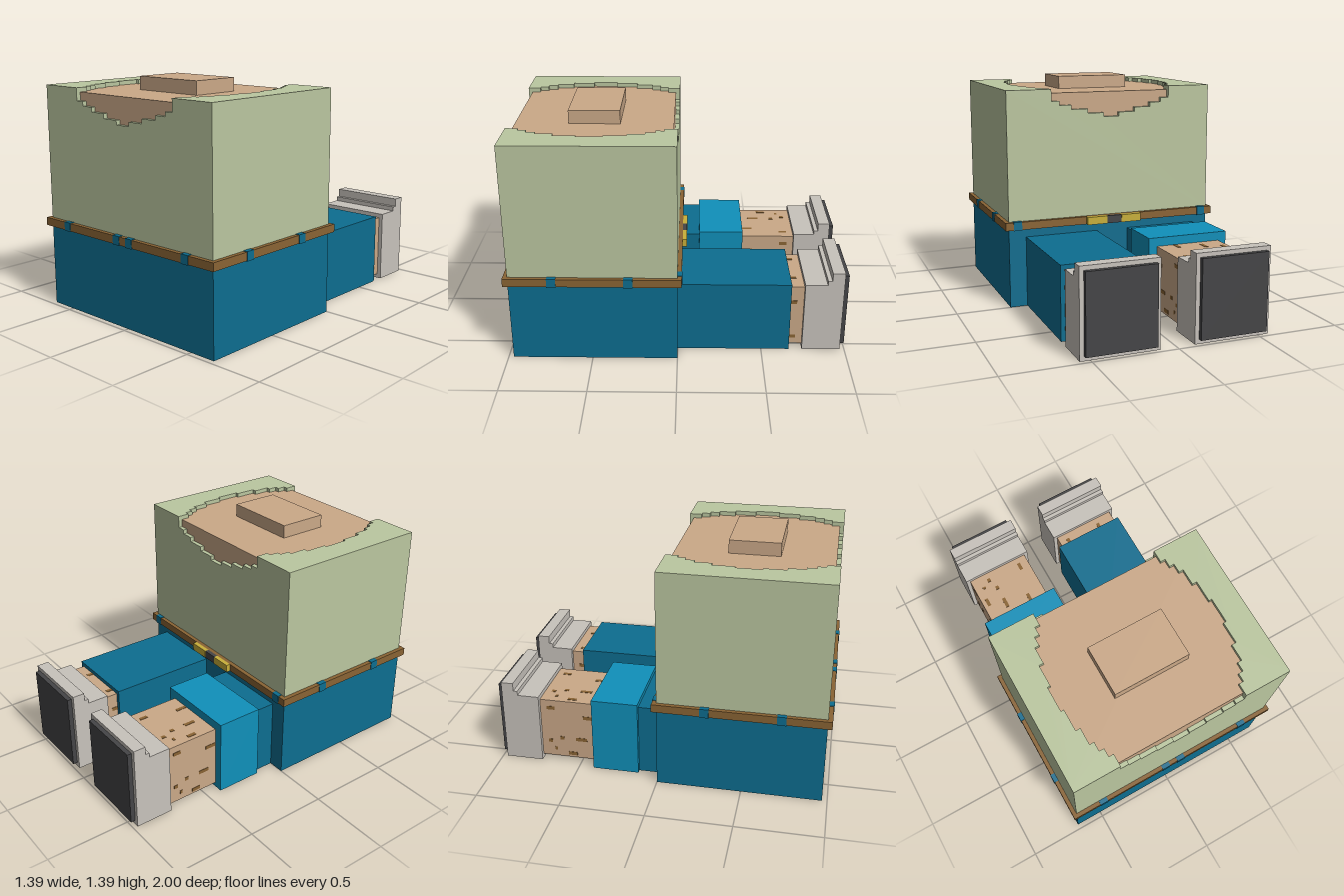
import * as THREE from 'three';

const mat = (name, color) => {
  const m = new THREE.MeshStandardMaterial({ color });
  m.name = name;
  return m;
};

export function createModel() {
  const model = new THREE.Group();
  model.name = 'seatedBody';
  const shirt = mat('shirt green', 0xbbc7a0);
  const denim = mat('trouser blue', 0x0d6e90);
  const hem = mat('cuff blue', 0x1090ba);
  const skin = mat('skin', 0xcba988);
  const leather = mat('belt brown', 0x8a6434);
  const shoeGrey = mat('shoe grey', 0xc8c3bc);
  const dark = mat('sole dark', 0x454547);
  const gold = mat('buckle yellow', 0xc9b03a);

  const add = (name, geo, material, parent = model) => {
    const mesh = new THREE.Mesh(geo, material);
    mesh.name = name;
    parent.add(mesh);
    return mesh;
  };
  // Box given by its limits on each axis
  const box = (name, material, [x0, x1], [y0, y1], [z0, z1], parent) => {
    const geo = new THREE.BoxGeometry(x1 - x0, y1 - y0, z1 - z0);
    geo.translate((x0 + x1) / 2, (y0 + y1) / 2, (z0 + z1) / 2);
    return add(name, geo, material, parent);
  };
  const extrude = (points, depth) => new THREE.ExtrudeGeometry(
    new THREE.Shape(points.map(p => new THREE.Vector2(...p))), { depth, bevelEnabled: false });

  // Torso: trousers, skin core and neck
  const W = 0.667, D = 0.97, T = 0.025, TOP = 1.333;
  box('hips', denim, [-W, W], [0, 0.51], [0, D]);
  box('chest', skin, [-W + T, W - T], [0.6, TOP - T], [T, D - T]);
  box('neck', skin, [-0.23, 0.23], [1.3, 1.387], [0.335, 0.635]);

  // Shirt front and back walls with a stepped neckline: [half width, height]
  const neckline = [[0.05, 1.155], [0.155, 1.18], [0.26, 1.207], [0.335, 1.234], [0.387, 1.26]];
  const half = [];
  neckline.forEach(([w, y], i) => {
    half.push([w, y], [w, i < 4 ? neckline[i + 1][1] : TOP]);
  });
  const wall = [[-W, 0.53], [W, 0.53], [W, TOP], ...half.slice().reverse(),
    ...half.map(([x, y]) => [-x, y]), [-W, TOP]];
  add('shirtBack', extrude(wall, T), shirt);
  add('shirtFront', extrude(wall, T), shirt).position.z = D - T;

  // Shirt sides and stepped shoulders: [half width, distance from middle]
  const opening = [[0.518, 0.075], [0.5, 0.205], [0.472, 0.305], [0.445, 0.36], [0.416, 0.41], [0.387, 0.46]];
  const mid = D / 2;
  const edge = [];
  opening.forEach(([w, d], i) => edge.push([w, i ? opening[i - 1][1] : 0], [w, d]));
  edge.shift();
  for (const s of [-1, 1]) {
    const xs = [s * W, s * (W - T)].sort((a, b) => a - b);
    box('shirtSide', shirt, xs, [0.53, TOP - T], [T, D - T]);
    const outline = [[s * W, mid - 0.46],
      ...edge.slice().reverse().map(([x, d]) => [s * x, mid - d]),
      ...edge.map(([x, d]) => [s * x, mid + d]), [s * W, mid + 0.46]];
    const shoulder = extrude(outline, T);
    shoulder.rotateX(Math.PI / 2);
    add('shoulder', shoulder, shirt).position.y = TOP;
  }

  // Belt with loops and buckle
  const B = 0.692, Z0 = -0.025, Z1 = 0.995, e = 0.003;
  const beltY = [0.49, 0.538], loopY = [0.49 - e, 0.538 + e];
  box('belt', leather, [-B, B], beltY, [Z0, Z1]);
  for (const x of [-0.488, -0.052, 0.052, 0.488])
    box('frontBeltLoop', denim, [x - 0.026, x + 0.026], loopY, [D - 0.01, Z1 + e]);
  for (const x of [-0.617, 0.617])
    box('backBeltLoop', denim, [x - 0.026, x + 0.026], loopY, [Z0 - e, 0.01]);
  for (const z of [0.28, 0.717]) {
    box('leftBeltLoop', denim, [W - 0.01, B + e], loopY, [z - 0.026, z + 0.026]);
    box('rightBeltLoop', denim, [-B - e, -W + 0.01], loopY, [z - 0.026, z + 0.026]);
  }
  for (const [x0, x1] of [[-0.18, -0.05], [0.045, 0.175]])
    box('buckle', gold, [x0, x1], beltY, [-0.052, Z0]);
  box('buckleCentre', dark, [-0.05, 0.045], beltY, [-0.05, Z0]);

  // Shoe side profile: [distance back, height]
  const shoeProfile = [[0.745, 0], [0.973, 0], [0.973, 0.515], [0.9, 0.515],
    [0.9, 0.465], [0.875, 0.465], [0.875, 0.438], [0.745, 0.438]];

  // Legs reaching back, each with calf, shoe and sole
  const leg = (name, x, trouserEnd) => {
    const g = new THREE.Group();
    g.name = name;
    g.position.x = x;
    model.add(g);
    box('trouserLeg', denim, [-0.23, 0.23], [0, 0.438], [-trouserEnd, 0], g);
    box('calf', skin, [-0.205, 0.205], [0.027, 0.412], [-0.76, -trouserEnd], g);
    const shoe = extrude(shoeProfile, 0.46);
    shoe.rotateY(Math.PI / 2);
    add('shoe', shoe, shoeGrey, g).position.x = -0.23;
    box('sole', dark, [-0.205, 0.205], [0.027, 0.49], [-1, -0.97], g);
    return g;
  };
  const left = leg('leftLeg', 0.33, 0.667);
  const right = leg('rightLeg', -0.337, 0.4);
  box('rolledCuff', hem, [-0.257, 0.257], [0, 0.465], [-0.41, -0.13], right);

  // Leg hairs: thin plates on top and sides, [position across, z start, z end]
  const hairs = (g, list) => {
    for (const [u, z0, z1] of list) {
      box('hair', leather, [u - 0.011, u + 0.011], [0.41, 0.414], [z0, z1], g);
      for (const s of [-1, 1])
        box('sideHair', leather, [s * 0.205 - 0.002, s * 0.205 + 0.002],
          [0.22 + u - 0.011, 0.22 + u + 0.011], [z0, z1], g);
    }
  };
  hairs(right, [[-0.09, -0.705, -0.68], [0.14, -0.705, -0.655], [-0.065, -0.63, -0.605],
    [-0.142, -0.665, -0.65], [-0.168, -0.58, -0.525], [-0.065, -0.53, -0.46], [0.09, -0.48, -0.415]]);
  hairs(left, [[-0.145, -0.705, -0.665], [0.09, -0.705, -0.665]]);

  return model;
}
